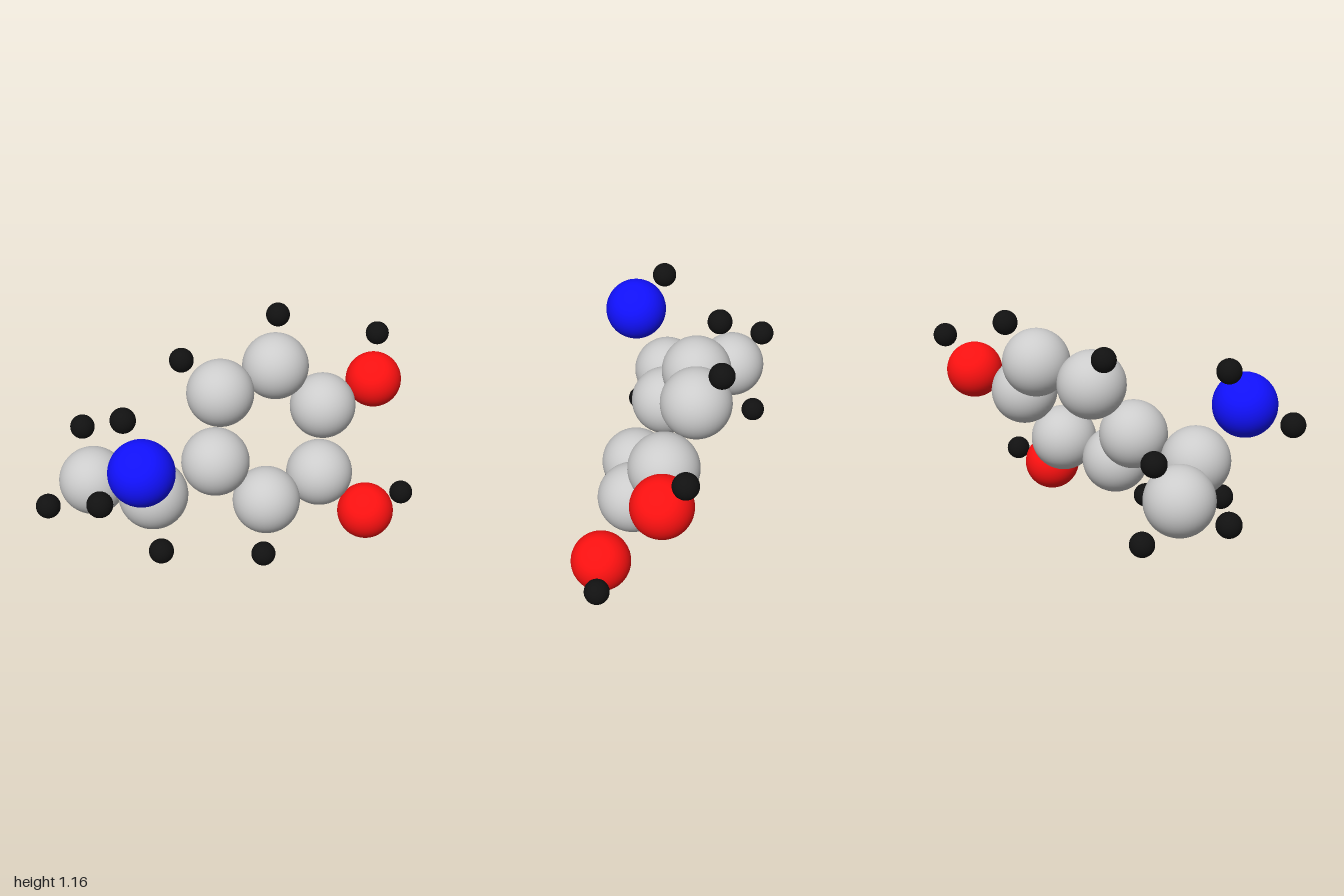
import * as THREE from 'three';

// Space-filling molecule: every atom is a smooth sphere, sized and coloured by kind
const KINDS = {
  carbon: { radius: 0.168, color: 0xcccccc },
  nitrogen: { radius: 0.156, color: 0x1111ff },
  oxygen: { radius: 0.144, color: 0xff1111 },
  hydrogen: { radius: 0.06, color: 0x111111 },
};

// [name, x, y, z] for each atom, grouped by kind
const ATOMS = {
  carbon: [
    // six-membered ring
    ['ringCarbon1', -0.13, 0.57, 0.005],
    ['ringCarbon2', -0.03, 0.84, -0.175],
    ['ringCarbon3', 0.3, 0.885, -0.25],
    ['ringCarbon4', 0.525, 0.657, -0.155],
    ['ringCarbon5', 0.43, 0.38, 0.022],
    ['ringCarbon6', 0.105, 0.34, 0.095],
    // side chain
    ['chainCarbon', -0.483, 0.517, 0.085],
    ['endCarbon', -0.69, 0.468, -0.218],
  ],
  nitrogen: [['chainNitrogen', -0.602, 0.785, 0.284]],
  oxygen: [
    ['upperOxygen', 0.852, 0.702, -0.23],
    ['lowerOxygen', 0.655, 0.146, 0.12],
  ],
  hydrogen: [
    ['ringHydrogen1', -0.203, 1.022, -0.247],
    ['ringHydrogen2', 0.369, 1.098, -0.381],
    ['ringHydrogen3', 0.031, 0.122, 0.235],
    ['upperOxygenHydrogen', 0.928, 0.898, -0.353],
    ['lowerOxygenHydrogen', 0.89, 0.168, 0.07],
    ['nitrogenHydrogen1', -0.633, 0.991, 0.139],
    ['nitrogenHydrogen2', -0.831, 0.726, 0.37],
    ['chainHydrogen', -0.505, 0.292, 0.24],
    ['endHydrogen1', -0.942, 0.418, -0.155],
    ['endHydrogen2', -0.596, 0.26, -0.359],
    ['endHydrogen3', -0.685, 0.688, -0.373],
  ],
};

export function createModel() {
  const model = new THREE.Group();
  model.name = 'molecule';
  for (const [kind, atoms] of Object.entries(ATOMS)) {
    const { radius, color } = KINDS[kind];
    const geometry = new THREE.SphereGeometry(radius, 40, 28);
    const material = new THREE.MeshStandardMaterial({ color });
    const group = new THREE.Group();
    group.name = kind + 'Atoms';
    for (const [name, x, y, z] of atoms) {
      const atom = new THREE.Mesh(geometry, material);
      atom.name = name;
      atom.position.set(x, y, z);
      group.add(atom);
    }
    model.add(group);
  }
  return model;
}
